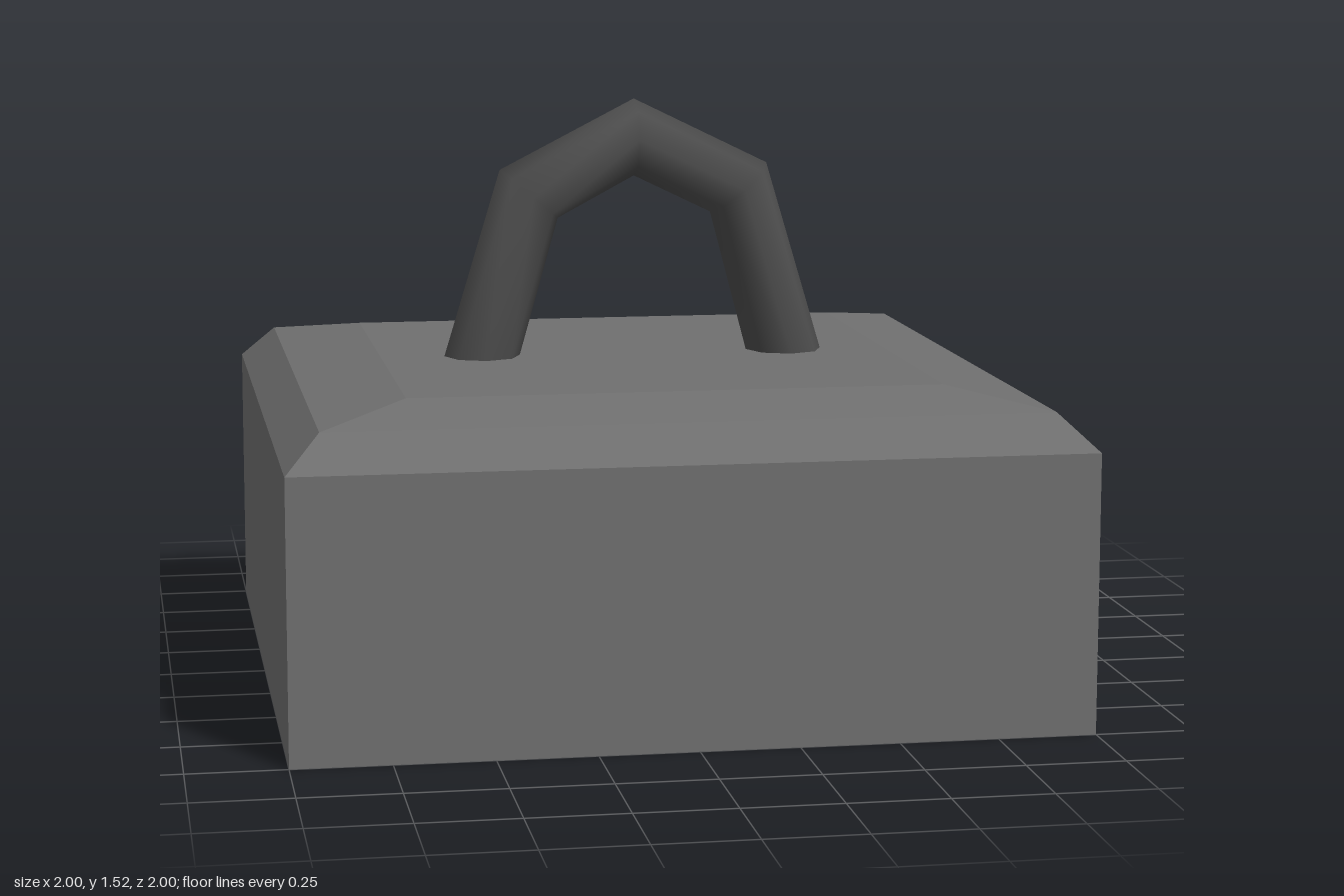
import * as THREE from 'three';

const bodyGrey = new THREE.MeshStandardMaterial({ color: 0x6f6f6f });
bodyGrey.name = 'bodyGrey';
const handleGrey = new THREE.MeshStandardMaterial({ color: 0x4c4c4c });
handleGrey.name = 'handleGrey';

// Square block with a chamfered rim and a shallow sloped top: [half width, height]
function createBlock() {
  const profile = [[0, 0], [1, 0], [1, 0.71], [0.91, 0.8], [0.68, 0.84], [0, 0.84]]
    .map(([half, y]) => new THREE.Vector2(half * Math.SQRT2, y));
  const geometry = new THREE.LatheGeometry(profile, 4, Math.PI / 4).toNonIndexed();
  geometry.computeVertexNormals();
  const mesh = new THREE.Mesh(geometry, bodyGrey);
  mesh.name = 'block';
  return mesh;
}

// Eight-sided bent bar with mitred corners, swept through outer/inner edge pairs
function createHandle() {
  const sides = 8, depth = 0.105;
  const stations = [
    { outer: [-0.517, 0.82], inner: [-0.314, 0.82] },
    { outer: [-0.36, 1.335], inner: [-0.205, 1.205] },
    { outer: [0, 1.52], inner: [0, 1.315] },
    { outer: [0.36, 1.345], inner: [0.207, 1.215] },
    { outer: [0.517, 0.82], inner: [0.312, 0.82] },
  ];
  const positions = [], indices = [];
  stations.forEach(({ outer, inner }, i) => {
    for (let j = 0; j < sides; j++) {
      const angle = (j / sides) * Math.PI * 2;
      const t = (1 + Math.cos(angle)) / 2;
      positions.push(
        THREE.MathUtils.lerp(inner[0], outer[0], t),
        THREE.MathUtils.lerp(inner[1], outer[1], t),
        depth * Math.sin(angle));
      if (i === stations.length - 1) continue;
      const next = (j + 1) % sides;
      const a = i * sides + j, b = i * sides + next;
      indices.push(a, b, a + sides, b, b + sides, a + sides);
    }
  });
  const geometry = new THREE.BufferGeometry();
  geometry.setAttribute('position', new THREE.Float32BufferAttribute(positions, 3));
  geometry.setIndex(indices);
  geometry.computeVertexNormals();
  const mesh = new THREE.Mesh(geometry, handleGrey);
  mesh.name = 'handle';
  return mesh;
}

export function createModel() {
  const model = new THREE.Group();
  model.name = 'weight';
  model.add(createBlock(), createHandle());
  return model;
}
